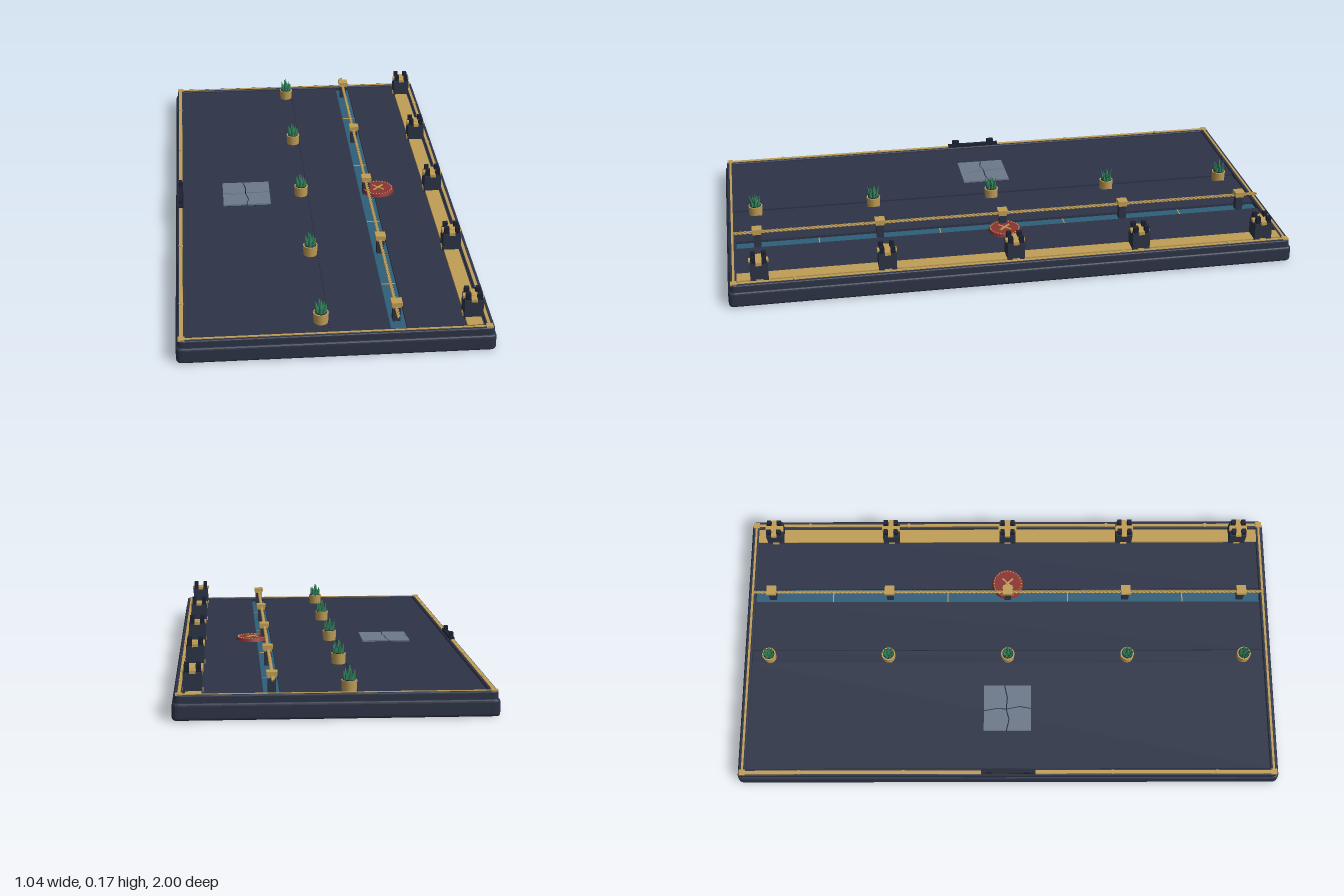
import * as THREE from 'three';

const mat = (name, color) => {
  const m = new THREE.MeshStandardMaterial({ color });
  m.name = name;
  return m;
};

export function createModel() {
  const root = new THREE.Group();
  const navy = mat('navy', 0x2d3447), ink = mat('ink', 0x1c2130), gold = mat('gold', 0xc19e56),
    teal = mat('teal', 0x2f5f7a), green = mat('leaf green', 0x2e7d57), red = mat('red', 0x8c3430),
    grey = mat('slate grey', 0x6c788a);
  const flatGreen = green;
  flatGreen.flatShading = true;

  const add = (name, geo, material, x = 0, y = 0, z = 0, parent = root) => {
    const m = new THREE.Mesh(geo, material);
    m.name = name;
    m.position.set(x, y, z);
    parent.add(m);
    return m;
  };
  // box given by its x range, y range and z range
  const block = (name, material, x0, x1, y0, y1, z0, z1, parent = root) =>
    add(name, new THREE.BoxGeometry(x1 - x0, y1 - y0, z1 - z0), material,
      (x0 + x1) / 2, (y0 + y1) / 2, (z0 + z1) / 2, parent);

  const roundRect = (w, d, r, Type = THREE.Shape) => {
    const s = new Type();
    s.moveTo(-w + r, -d);
    s.lineTo(w - r, -d).quadraticCurveTo(w, -d, w, -d + r);
    s.lineTo(w, d - r).quadraticCurveTo(w, d, w - r, d);
    s.lineTo(-w + r, d).quadraticCurveTo(-w, d, -w, d - r);
    s.lineTo(-w, -d + r).quadraticCurveTo(-w, -d, -w + r, -d);
    return s;
  };
  const slab = (shape, y0, y1, bevel) => new THREE.ExtrudeGeometry(shape, {
    depth: y1 - y0 - 2 * bevel, bevelThickness: bevel, bevelSize: bevel,
    bevelOffset: -bevel, bevelSegments: 3, curveSegments: 4,
  }).rotateX(-Math.PI / 2).translate(0, y0 + bevel, 0);

  // Base slab and raised rim
  add('base', slab(roundRect(0.518, 1, 0.02), 0, 0.056, 0.009), navy);
  const rim = roundRect(0.512, 0.993, 0.018);
  rim.holes.push(roundRect(0.484, 0.966, 0.004, THREE.Path));
  add('rim', slab(rim, 0.04, 0.081, 0.005), navy);

  // Deck strips with a planter groove and a water channel between them
  const D = 0.968, deckY = 0.074;
  for (const [a, b] of [[-0.486, -0.07], [-0.02, 0.177], [0.23, 0.486]])
    block('deck', navy, a, b, 0.05, deckY, -D, D);
  block('planterGroove', navy, -0.07, -0.02, 0.05, 0.068, -D, D);
  block('waterChannel', teal, 0.177, 0.23, 0.05, 0.065, -D, D);
  for (const z of [-0.67, -0.23, 0.23, 0.67])
    block('channelTick', gold, 0.18, 0.227, 0.065, 0.067, z - 0.002, z + 0.002);

  // Gold inlay around the rim
  for (const s of [-1, 1])
    block('endInlay', gold, -0.5, 0.5, 0.079, 0.083, s * 0.979 - 0.004, s * 0.979 + 0.004);
  block('rightInlay', gold, -0.506, -0.493, 0.079, 0.083, -0.975, -0.1);
  block('rightInlay', gold, -0.506, -0.493, 0.079, 0.083, 0.1, 0.975);
  block('leftInlay', gold, 0.49, 0.5, 0.079, 0.083, -0.975, 0.975);
  const rivet = new THREE.CylinderGeometry(0.008, 0.008, 0.007, 10);
  for (const x of [-0.499, 0.495]) {
    for (const z of [-0.77, -0.385, 0.385, 0.77]) add('rivet', rivet, gold, x, 0.082, z);
    for (const z of [-0.979, 0.979])
      block('cornerPlate', gold, x - 0.011, x + 0.011, 0.079, 0.085, z - 0.011, z + 0.011);
  }

  // Latch on the rim
  block('latchBar', ink, -0.508, -0.49, 0.08, 0.09, -0.1, 0.1);
  for (const s of [-1, 1]) block('latchPost', ink, -0.507, -0.493, 0.08, 0.106, s * 0.07 - 0.013, s * 0.07 + 0.013);

  // Gold wall walk carrying the towers
  block('wallWalk', gold, 0.425, 0.477, 0.07, 0.081, -0.968, 0.968);

  const stations = [-0.9, -0.45, 0, 0.45, 0.89];
  const pot = new THREE.CylinderGeometry(0.026, 0.024, 0.037, 12);
  const soil = new THREE.CylinderGeometry(0.021, 0.021, 0.004, 12);
  const leaf = new THREE.ConeGeometry(0.0095, 0.045, 5).translate(0, 0.0225, 0);
  leaf.scale(1, 1, 0.8);

  const planter = z => {
    const g = new THREE.Group();
    g.name = 'planter';
    g.position.set(-0.045, 0.068, z);
    add('pot', pot, gold, 0, 0.0185, 0, g);
    add('soil', soil, ink, 0, 0.0365, 0, g);
    add('centreLeaf', leaf, green, 0, 0.036, 0, g).scale.set(1.3, 1.15, 1.3);
    for (let i = 0; i < 7; i++) {
      const a = i / 7 * Math.PI * 2;
      const l = add('leaf', leaf, green, Math.cos(a) * 0.012, 0.035, Math.sin(a) * 0.012, g);
      l.scale.y = 0.78 + 0.12 * (i % 3);
      l.rotation.set(Math.sin(a) * 0.2, 0, -Math.cos(a) * 0.2);
    }
    root.add(g);
  };

  const bollard = z => {
    const g = new THREE.Group();
    g.name = 'ropePost';
    g.position.set(0.202, 0, z);
    block('post', navy, -0.013, 0.013, 0.06, 0.123, -0.013, 0.013, g);
    block('postCollar', gold, -0.015, 0.015, 0.116, 0.124, -0.015, 0.015, g);
    block('postCap', gold, -0.018, 0.018, 0.124, 0.137, -0.018, 0.018, g);
    root.add(g);
  };

  const tower = z => {
    const g = new THREE.Group();
    g.name = 'tower';
    g.position.set(0.453, 0, z);
    block('towerFoot', gold, -0.034, 0.034, 0.07, 0.084, -0.012, 0.012, g);
    block('towerBody', navy, -0.031, 0.031, 0.07, 0.141, -0.031, 0.031, g);
    block('towerCrossBand', gold, -0.034, 0.034, 0.137, 0.149, -0.01, 0.01, g);
    block('towerCrossBand', gold, -0.01, 0.01, 0.137, 0.148, -0.034, 0.034, g);
    for (const x of [-1, 1]) for (const s of [-1, 1])
      block('merlon', ink, x * 0.019 - 0.008, x * 0.019 + 0.008, 0.14, 0.165, s * 0.019 - 0.008, s * 0.019 + 0.008, g);
    root.add(g);
  };
  for (const z of stations) { planter(z); bollard(z); tower(z); }

  // Twisted rope of two strands running over the channel
  for (const phase of [0, Math.PI]) {
    const pts = [];
    for (let i = 0; i <= 480; i++) {
      const a = i * Math.PI / 4 + phase;
      pts.push(new THREE.Vector3(0.2 + Math.cos(a) * 0.003, 0.12 + Math.sin(a) * 0.003, -0.97 + 1.94 * i / 480));
    }
    add('ropeStrand', new THREE.TubeGeometry(new THREE.CatmullRomCurve3(pts), 960, 0.0035, 5), gold);
  }

  // Round red seal with studded rim and a gold cross
  const seal = new THREE.Group();
  seal.name = 'seal';
  seal.position.set(0.248, 0, 0);
  root.add(seal);
  add('sealDisc', new THREE.CylinderGeometry(0.056, 0.06, 0.012, 32), red, 0, 0.079, 0, seal);
  const stud = new THREE.SphereGeometry(0.003, 6, 4);
  for (let i = 0; i < 28; i++) {
    const a = i / 28 * Math.PI * 2;
    add('sealStud', stud, gold, Math.cos(a) * 0.052, 0.085, Math.sin(a) * 0.052, seal);
  }
  for (const s of [-1, 1])
    add('sealCross', new THREE.BoxGeometry(0.056, 0.004, 0.006), gold, 0, 0.086, 0, seal).rotation.y = s * Math.PI / 4;

  // Cracked stone slab: four plates on a dark bed
  const stone = new THREE.Group();
  stone.name = 'crackedSlab';
  stone.position.set(-0.252, deckY, -0.002);
  root.add(stone);
  block('slabBed', ink, -0.087, 0.087, -0.002, 0.002, -0.087, 0.087, stone);
  const c = 0.088;
  const plates = [
    [[-c, -c], [-0.012, -c], [-0.004, -0.04], [-0.006, -0.006], [-0.045, 0.004], [-c, -0.006]],
    [[-0.008, -c], [c, -c], [c, -0.012], [0.04, -0.002], [-0.002, -0.006], [0, -0.04]],
    [[-c, -0.002], [-0.045, 0.008], [-0.006, -0.002], [0.004, 0.045], [-0.004, c], [-c, c]],
    [[-0.002, -0.002], [0.04, 0.002], [c, -0.008], [c, c], [0, c], [0.008, 0.045]],
  ];
  for (const p of plates) {
    const shape = new THREE.Shape(p.map(([x, z]) => new THREE.Vector2(x, -z)));
    const geo = new THREE.ExtrudeGeometry(shape, { depth: 0.006, bevelEnabled: false }).rotateX(-Math.PI / 2);
    add('slabPlate', geo, grey, 0, 0.001, 0, stone);
  }
  return root;
}
